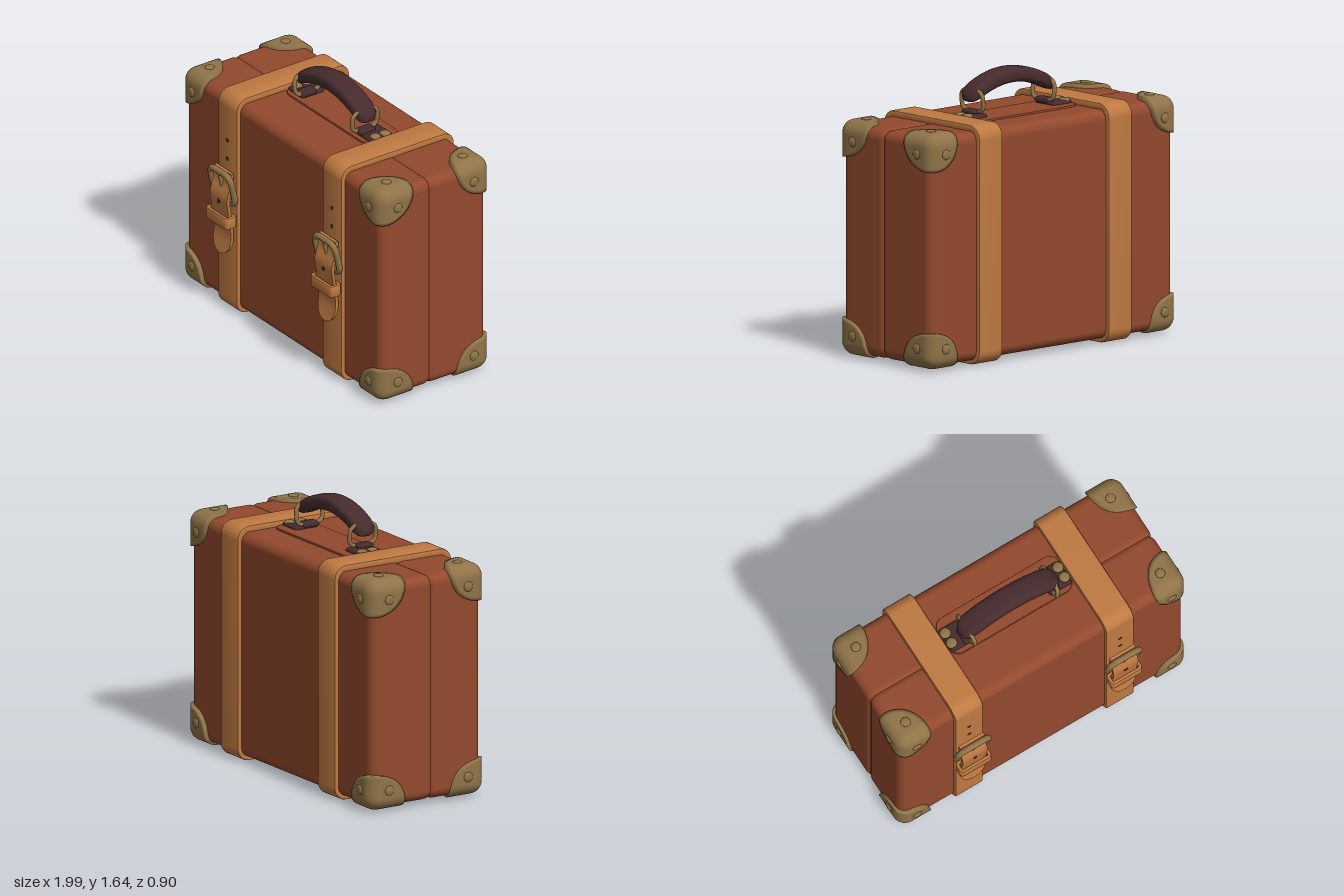
import * as THREE from 'three';
import { mergeVertices, mergeGeometries, toCreasedNormals } from 'three/addons/utils/BufferGeometryUtils.js';
import { RoundedBoxGeometry } from 'three/addons/geometries/RoundedBoxGeometry.js';

const material = (name, color) => Object.assign(new THREE.MeshStandardMaterial({ color }), { name });

// Smooth surface from a grid rule; (u direction) x (v direction) points outward unless flipped.
function grid(nu, nv, rule, flip = false) {
  const pos = [], idx = [];
  for (let i = 0; i <= nu; i++) for (let j = 0; j <= nv; j++) pos.push(...rule(i / nu, j / nv, i));
  for (let i = 0; i < nu; i++) for (let j = 0; j < nv; j++) {
    const a = i * (nv + 1) + j, b = a + nv + 1;
    if (flip) idx.push(a, b + 1, b, a, a + 1, b + 1);
    else idx.push(a, b, b + 1, a, b + 1, a + 1);
  }
  const g = new THREE.BufferGeometry();
  g.setAttribute('position', new THREE.Float32BufferAttribute(pos, 3));
  g.setIndex(idx);
  return g;
}

function weld(g) {
  const m = mergeVertices(g, 1e-5);
  m.computeVertexNormals();
  return m;
}

// Rounded rectangle centred on the origin.
function roundRect(w, h, r, Type = THREE.Shape) {
  const s = new Type(), x = w / 2, y = h / 2;
  s.moveTo(-x + r, -y);
  s.lineTo(x - r, -y).absarc(x - r, -y + r, r, -Math.PI / 2, 0);
  s.lineTo(x, y - r).absarc(x - r, y - r, r, 0, Math.PI / 2);
  s.lineTo(-x + r, y).absarc(-x + r, y - r, r, Math.PI / 2, Math.PI);
  s.lineTo(-x, -y + r).absarc(-x + r, -y + r, r, Math.PI, Math.PI * 1.5);
  return s;
}

// Round wire bent into a rounded rectangle.
function wireLoop(w, h, r, thickness) {
  const pts = roundRect(w, h, r).getSpacedPoints(48).slice(0, -1).map(p => new THREE.Vector3(p.x, p.y, 0));
  return new THREE.TubeGeometry(new THREE.CatmullRomCurve3(pts, true), 64, thickness, 10, true);
}

// Flat band following a rounded rectangle in the y-z plane, centred on x = 0.
function band(depth, height, radius, thickness, width) {
  const bevel = 0.008;
  const s = roundRect(depth - 2 * bevel, height - 2 * bevel, radius - bevel);
  s.holes.push(roundRect(depth - 2 * thickness, height - 2 * thickness, Math.max(radius - thickness, 0.005), THREE.Path));
  const g = new THREE.ExtrudeGeometry(s, {
    depth: width - 2 * bevel, bevelSize: bevel, bevelThickness: bevel, bevelSegments: 2, curveSegments: 8,
  });
  g.translate(0, 0, -(width - 2 * bevel) / 2).rotateY(-Math.PI / 2);
  return toCreasedNormals(g, 0.7);
}

// Corner cap: three rounded-off faces meeting at one corner, with a turned-in rim.
function cornerCap(signs, corner) {
  const reach = [0.215, 0.22, 0.245], rad = 0.08, rows = 12;
  const flip = signs[0] * signs[1] * signs[2] < 0;
  const faces = [0, 1, 2].map(k => grid(rows + 1, 16, (u, v, row) => {
    const i = (k + 1) % 3, j = (k + 2) % 3, r = Math.min(row / rows, 1), a = v * Math.PI / 2;
    const p = [0, 0, 0];
    p[i] = -reach[i] * r * Math.pow(Math.max(Math.cos(a), 0), 0.8);
    p[j] = -reach[j] * r * Math.pow(Math.max(Math.sin(a), 0), 0.8);
    const core = p.map(c => Math.min(c, -rad));
    const n = new THREE.Vector3(...p.map((c, m) => c - core[m])).normalize().toArray();
    const out = row > rows ? rad - 0.04 : rad;
    return n.map((c, m) => signs[m] * (corner[m] + core[m] + c * out));
  }, flip));
  return weld(mergeGeometries(faces));
}

export function createModel() {
  const group = new THREE.Group();
  group.name = 'suitcase';
  const leather = material('brown leather', 0x93492d);
  const tan = material('tan leather', 0xc07a42);
  const brass = material('aged brass', 0x907448);
  const dark = material('dark leather', 0x462b2d);
  const add = (name, geo, mat, x = 0, y = 0, z = 0, parent = group) => {
    const m = new THREE.Mesh(geo, mat);
    m.name = name;
    m.position.set(x, y, z);
    parent.add(m);
    return m;
  };
  const midZ = -0.04, midY = 0.71;

  // Two shells meeting in a shallow seam
  const shell = (name, z0, z1) =>
    add(name, new RoundedBoxGeometry(1.935, 1.35, z1 - z0, 5, 0.06), leather, 0, 0.705, (z0 + z1) / 2);
  shell('frontShell', -0.035, 0.34);
  shell('backShell', -0.42, 0.015);

  // Raised panel under the handle
  const panel = new THREE.ExtrudeGeometry(roundRect(0.82, 0.24, 0.06), {
    depth: 0.012, bevelSize: 0.005, bevelThickness: 0.005, bevelSegments: 2,
  });
  add('handlePanel', panel.rotateX(-Math.PI / 2), leather, 0, 1.375, -0.085);

  // Brass corner caps with a rivet on each face
  const half = [0.985, 0.695, 0.403], at = [0.115, 0.122, 0.13];
  const rivetGeo = new THREE.SphereGeometry(0.03, 14, 10);
  for (const sx of [-1, 1]) for (const sy of [-1, 1]) for (const sz of [-1, 1]) {
    const signs = [sx, sy, sz], cap = new THREE.Group();
    cap.name = 'cornerCap';
    cap.position.set(0, midY, midZ);
    group.add(cap);
    add('capShell', cornerCap(signs, half), brass, 0, 0, 0, cap);
    for (let k = 0; k < 3; k++) {
      const p = half.map((h, m) => signs[m] * (m === k ? h : h - at[m]));
      const rivet = add('capRivet', rivetGeo, brass, ...p, cap);
      rivet.scale.setComponent(k, 0.35);
    }
  }

  // Straps, each with a buckle, a loose end and a keeper
  const strapGeo = band(0.81, 1.41, 0.08, 0.035, 0.187);
  const flapCurve = new THREE.SplineCurve([
    [0.94, 0.39], [0.86, 0.395], [0.77, 0.418], [0.64, 0.402], [0.52, 0.39], [0.4, 0.412],
  ].map(p => new THREE.Vector2(...p))).getPoints(80);
  const flapZ = y => {
    const i = flapCurve.findIndex(p => p.y !== undefined && p.x <= y + 1e-6);
    if (i <= 0) return flapCurve[i < 0 ? 80 : 0].y;
    const a = flapCurve[i - 1], b = flapCurve[i];
    return THREE.MathUtils.mapLinear(y, a.x, b.x, a.y, b.y);
  };
  const flapGeo = new THREE.BoxGeometry(0.168, 0.54, 0.02, 4, 54, 1).translate(0, 0.67, 0);
  const fp = flapGeo.attributes.position;
  for (let i = 0; i < fp.count; i++) {
    const y = fp.getY(i), t = Math.min((y - 0.4) / 0.09, 1);
    fp.setX(i, fp.getX(i) * Math.max(Math.sqrt(Math.max(1 - (1 - t) ** 2, 0)), 0.15));
    fp.setZ(i, fp.getZ(i) + flapZ(y));
  }
  flapGeo.computeVertexNormals();
  const buckleGeo = wireLoop(0.205, 0.205, 0.055, 0.019);
  const prongGeo = new THREE.CapsuleGeometry(0.013, 0.09, 4, 10);
  const keeperGeo = band(0.08, 0.215, 0.025, 0.014, 0.075).rotateZ(Math.PI / 2);
  const holeGeo = new THREE.CylinderGeometry(0.013, 0.013, 0.006, 14).rotateX(Math.PI / 2);
  for (const s of [-1, 1]) {
    const strap = new THREE.Group();
    strap.name = s > 0 ? 'leftStrap' : 'rightStrap';
    strap.position.x = s * 0.515;
    group.add(strap);
    add('strapBand', strapGeo, tan, 0, midY, midZ, strap);
    add('strapEnd', flapGeo, tan, 0, 0, 0, strap);
    add('keeper', keeperGeo, tan, 0, 0.632, 0.41, strap);
    add('buckleFrame', buckleGeo, brass, 0, 0.833, 0.398, strap).rotation.x = 0.22;
    add('buckleProng', prongGeo, brass, 0, 0.885, 0.412, strap).rotation.x = 0.2;
    for (const y of [1.12, 1.0]) add('strapHole', holeGeo, dark, 0, y, 0.364, strap);
    add('strapHole', holeGeo, dark, 0, 0.742, flapZ(0.742) + 0.01, strap);
  }

  // Arched, padded handle
  const power = (c, e) => Math.sign(c) * Math.pow(Math.abs(c), e);
  const handle = grid(28, 40, (u, v) => {
    const a = u * Math.PI * 2, e = Math.sin((v - 0.5) * Math.PI), x = 0.333 * e;
    const swell = Math.sqrt(Math.max(1 - Math.abs(e) ** 14, 0));
    const y = 1.598 - 0.92 * x * x + 0.046 * swell * power(Math.cos(a), 0.65);
    return [x, y, midZ + 0.072 * swell * power(Math.sin(a), 0.65)];
  });
  add('handleGrip', weld(handle), dark);

  // Handle rings and their mounts
  const ringGeo = wireLoop(0.18, 0.125, 0.045, 0.013).rotateY(Math.PI / 2);
  const mountGeo = new RoundedBoxGeometry(0.15, 0.035, 0.16, 3, 0.015);
  const baseGeo = new RoundedBoxGeometry(0.07, 0.035, 0.11, 3, 0.015);
  const lobeGeo = new THREE.SphereGeometry(0.034, 14, 10).scale(1, 0.5, 1);
  for (const s of [-1, 1]) {
    add('handleRing', ringGeo, brass, s * 0.283, 1.476, midZ).rotation.z = s * -0.08;
    add('handleMount', mountGeo, dark, s * 0.335, 1.392, -0.07);
    add('ringSaddle', baseGeo, dark, s * 0.29, 1.41, midZ);
    for (const z of [-0.11, -0.04]) add('mountRivet', lobeGeo, brass, s * 0.385, 1.405, z);
  }
  return group;
}
